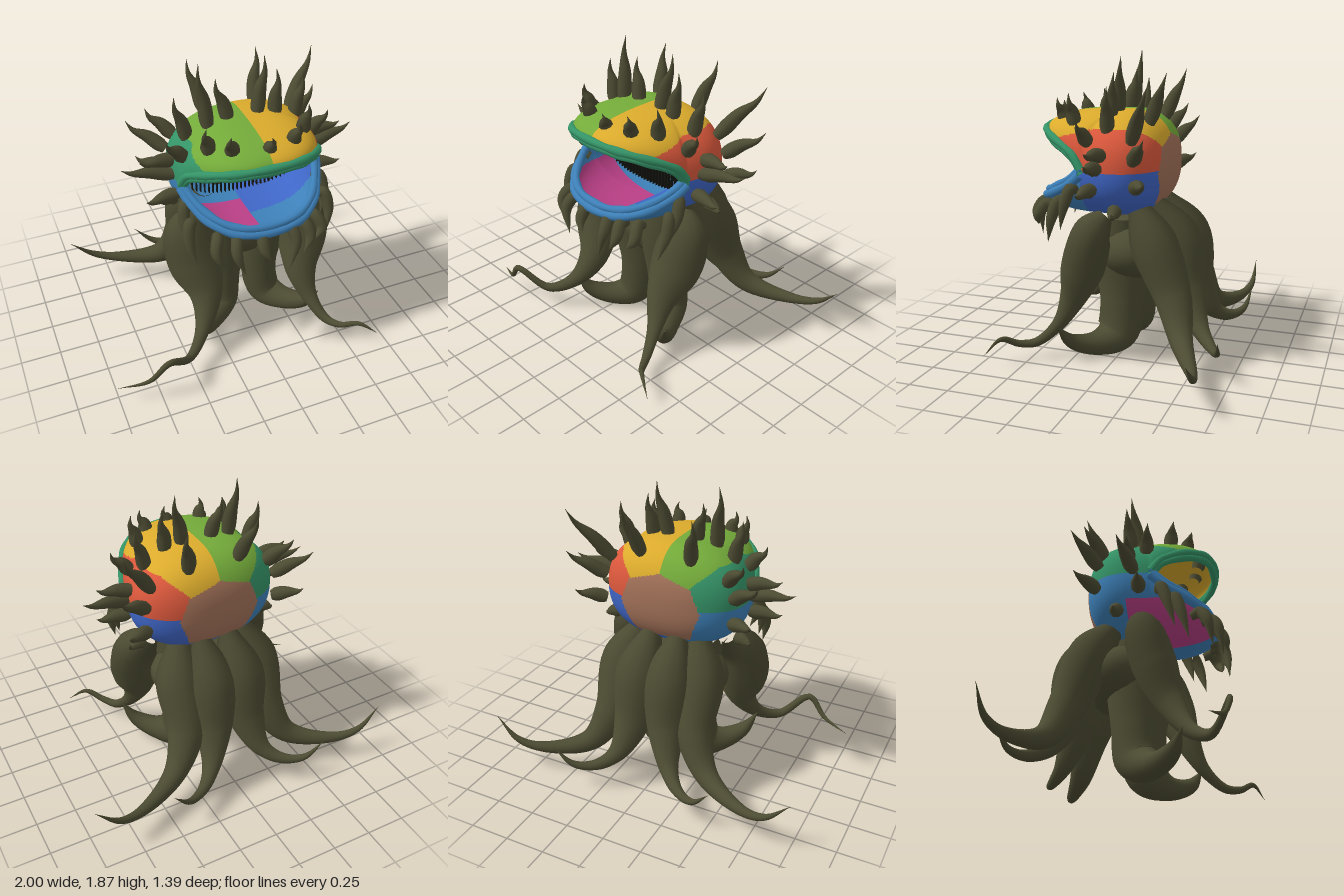
import * as THREE from 'three';

const mat = (name, color, side = THREE.FrontSide) => {
  const m = new THREE.MeshStandardMaterial({ color, side });
  m.name = name;
  return m;
};
const V = (p) => new THREE.Vector3(...p);

// Tapered tube: path points with one radius for each; depth widens or flattens it along z
function taper(points, radii, seg = 32, sides = 14, depth = 1) {
  const curve = new THREE.CatmullRomCurve3(points.map(V), false, 'centripetal');
  curve.getPointAt = curve.getPoint;
  curve.getTangentAt = curve.getTangent;
  const size = new THREE.CatmullRomCurve3(radii.map((r, i) => new THREE.Vector3(i, r, 0)));
  const g = new THREE.TubeGeometry(curve, seg, 1, sides);
  const pos = g.attributes.position, v = new THREE.Vector3();
  for (let i = 0; i <= seg; i++) {
    const c = curve.getPoint(i / seg), r = Math.max(0.001, size.getPoint(i / seg).y);
    for (let j = 0; j <= sides; j++) {
      const k = i * (sides + 1) + j;
      v.fromBufferAttribute(pos, k).sub(c).multiplyScalar(r);
      pos.setXYZ(k, c.x + v.x, c.y + v.y, c.z + v.z * depth);
    }
  }
  return g;
}

// Head outline seen from above; angle 0 is the front
const spow = (v, p) => Math.sign(v) * Math.abs(v) ** p;
function plan(a) {
  const c = Math.cos(a), s = Math.sin(a);
  return c > 0 ? [(0.455 - 0.04 * c * (2 - c)) * spow(s, 0.82), 0.49 * c ** 0.82]
    : [0.455 * spow(s, 0.84), 0.3 * spow(c, 0.84)];
}
// Edge height of a jaw: level at the back, opening toward the front
function lipY(z, rise) {
  return 1.2 + rise * Math.max(0, (z - 0.15) / 0.34) ** (rise > 0 ? 0.52 : 0.75);
}

// One half of the head shell, from the jaw edge to its pole, split by colour
function jawShell(rise, poleY, pick, materials) {
  const cols = 240, rows = 60, pos = [], buckets = materials.map(() => []);
  for (let j = 0; j <= rows; j++) {
    const t = (j / rows) * Math.PI / 2;
    const c = Math.max(0, Math.cos(t)) ** 0.8, s = Math.sin(t) ** 0.85;
    for (let i = 0; i < cols; i++) {
      const [x, z] = plan((i / cols) * Math.PI * 2), y = lipY(z, rise);
      pos.push(x * c, y + (poleY - y) * s, z * c);
    }
  }
  for (let j = 0; j < rows; j++) for (let i = 0; i < cols; i++) {
    const n = (i + 1) % cols;
    const a = j * cols + i, b = j * cols + n, c = b + cols, d = a + cols;
    const mid = [0, 1, 2].map((k) => (pos[a * 3 + k] + pos[b * 3 + k] + pos[c * 3 + k] + pos[d * 3 + k]) / 4);
    buckets[pick(...mid)].push(...(rise > 0 ? [a, b, c, a, c, d] : [a, c, b, a, d, c]));
  }
  const g = new THREE.BufferGeometry();
  g.setAttribute('position', new THREE.Float32BufferAttribute(pos, 3));
  g.setIndex(buckets.flat());
  let start = 0;
  buckets.forEach((b, i) => { g.addGroup(start, b.length, i); start += b.length; });
  g.computeVertexNormals();
  return new THREE.Mesh(g, materials);
}

export function createModel() {
  const root = new THREE.Group();
  root.name = 'tentacledCreature';
  const D = THREE.DoubleSide;
  const olive = mat('olive skin', 0x4c4b32);
  const green = mat('leaf green', 0x74ab3a, D), yellow = mat('yellow', 0xdbab2c, D);
  const red = mat('red', 0xdb583c, D), blue = mat('royal blue', 0x3f66c6, D);
  const teal = mat('teal green', 0x359468, D), steel = mat('steel blue', 0x3d80b8, D);
  const brown = mat('brown', 0xa37259, D), magenta = mat('magenta', 0xbb4087, D);
  const black = mat('black', 0x14140f);
  const add = (name, g, m = olive) => {
    const mesh = new THREE.Mesh(g, m);
    mesh.name = name;
    root.add(mesh);
    return mesh;
  };

  // Patchwork head
  const isBack = (x, y, z) => z < -0.1 && Math.abs(x) < 0.26 - Math.abs(y - 1.18) * 0.4 && y < 1.39 - Math.abs(x) * 0.3;
  const upper = jawShell(0.21, 1.53, (x, y, z) => {
    if (isBack(x, y, z)) return 4;
    const crown = y > 1.44 - Math.max(0, z - 0.1) * 0.25 || (z < 0 && Math.abs(x) < 0.22 + (y - 1.36) * 1.2);
    return crown ? (x < 0 ? 0 : 1) : (x < 0 ? 2 : 3);
  }, [green, yellow, teal, red, brown]);
  upper.name = 'upperHead';
  const lower = jawShell(-0.2, 0.89, (x, y, z) => {
    if (isBack(x, y, z) && y > 0.98) return 3;
    if (x > 0) return z > 0.16 ? 0 : 1;
    return z > 0 && y < 1.05 ? 2 : 0;
  }, [steel, blue, magenta, brown]);
  lower.name = 'lowerHead';
  root.add(upper, lower);

  // Lips, each a pair of rolled strands
  const lip = (rise, dy, out, r) => {
    const pts = [];
    for (let i = 0; i <= 24; i++) {
      const a = -1.34 + (i / 24) * 2.68, [x, z] = plan(a);
      pts.push([x * out, lipY(z, rise) + dy, z * out + 0.005]);
    }
    return taper(pts, pts.map((_, i) => r * (0.9 + 0.1 * Math.cos(i * 1.6))), 96, 10);
  };
  add('upperLipOuter', lip(0.21, 0.012, 1.0, 0.026), teal);
  add('upperLipInner', lip(0.21, -0.018, 0.98, 0.024), teal);
  add('lowerLipOuter', lip(-0.2, -0.015, 1.01, 0.03), steel);
  add('lowerLipInner', lip(-0.2, 0.02, 0.98, 0.026), steel);

  // Row of fine bristles across the throat
  for (let i = -13; i <= 13; i++) {
    const x = i * 0.026, h = 0.36 - 0.14 * Math.abs(i / 13) ** 3;
    add('bristle', new THREE.BoxGeometry(0.005, h, 0.02), black).position.set(x, 1.21, 0.08);
  }

  // Fleshy base joining the tentacles under the head
  const base = add('base', new THREE.SphereGeometry(1, 40, 24));
  base.scale.set(0.36, 0.2, 0.26);
  base.position.set(0, 0.68, -0.08);

  // Mirrored tentacles
  for (const s of [1, -1]) {
    const flip = (pts) => pts.map(([x, y, z]) => [x * s, y, z]);
    add('middleTentacle', taper(flip([[0.14, 0.88, 0.01], [0.14, 0.7, 0.01], [0.13, 0.36, 0], [0.16, 0.13, 0.03],
      [0.25, 0.08, 0.13], [0.36, 0.12, 0.25], [0.43, 0.23, 0.32]]), [0.1, 0.15, 0.115, 0.11, 0.075, 0.045, 0], 48, 20, 1.25));
    add('outerBackTentacle', taper(flip([[0.2, 0.95, -0.13], [0.26, 0.76, -0.24], [0.285, 0.45, -0.37], [0.41, 0.23, -0.46],
      [0.68, 0.17, -0.59], [0.85, 0.21, -0.64], [1, 0.34, -0.64]]), [0.07, 0.145, 0.115, 0.07, 0.035, 0.02, 0], 48));
    add('innerBackTentacle', taper(flip([[0.09, 0.97, -0.2], [0.1, 0.76, -0.34], [0.115, 0.46, -0.41], [0.18, 0.24, -0.51],
      [0.28, 0.17, -0.6], [0.41, 0.18, -0.67], [0.53, 0.29, -0.7]]), [0.06, 0.15, 0.12, 0.06, 0.035, 0.02, 0], 48));
  }
  // Front tentacles share a thick, flattened root and end differently
  const front = (s, end) => add('frontTentacle', taper([[0.32 * s, 0.92, 0.04], [0.38 * s, 0.82, 0.1],
    [0.365 * s, 0.62, 0.165], [0.33 * s, 0.4, 0.25], ...end], [0.06, 0.15, 0.17, 0.105, 0.05, 0.03, 0.022, 0.015, 0], 56, 16, 0.75));
  front(1, [[0.36, 0.22, 0.34], [0.42, 0.11, 0.46], [0.48, 0.11, 0.55], [0.57, 0.16, 0.63], [0.68, 0.09, 0.69]]);
  front(-1, [[-0.4, 0.22, 0.36], [-0.53, 0.15, 0.49], [-0.7, 0.27, 0.6], [-0.82, 0.15, 0.58], [-1, 0.1, 0.52]]);

  // Thorns: swollen near the root with a thin hooked point
  const thorn = (a, b, r = 0.044) => {
    const p = V(a), q = V(b), at = (t) => p.clone().lerp(q, t).toArray();
    const hook = at(0.76);
    hook[1] -= 0.012;
    hook[0] += Math.sign(b[0]) * 0.014;
    add('thorn', taper([at(0), at(0.17), at(0.45), hook, b], [r * 0.75, r, r * 0.85, r * 0.36, 0], 14, 9));
  };
  const pairs = [
    [[0.16, 1.46, -0.18], [0.22, 1.76, -0.3]], [[0.42, 1.27, -0.16], [0.62, 1.43, -0.29]],
    [[0.42, 1.12, -0.17], [0.58, 1.18, -0.28]], [[0.39, 1.36, 0.12], [0.5, 1.5, 0.15]],
    [[0.44, 1.22, 0.05], [0.74, 1.29, 0.01]], [[0.43, 1.1, 0.08], [0.63, 1.1, 0.11]],
    [[0.34, 1.42, 0.02], [0.4, 1.69, 0]], [[0.43, 1.3, 0.02], [0.64, 1.34, 0.05]],
    [[0.4, 0.98, -0.05], [0.5, 0.96, -0.06]],
  ];
  for (const s of [1, -1]) for (const [a, b] of pairs) thorn([a[0] * s, a[1], a[2]], [b[0] * s, b[1], b[2]]);
  const crown = [
    [[0.38, 1.38, -0.14], [0.6, 1.7, -0.3]], [[-0.37, 1.36, -0.14], [-0.51, 1.52, -0.24]],
    [[-0.22, 1.48, 0.05], [-0.25, 1.87, 0]], [[-0.09, 1.5, 0.04], [-0.15, 1.76, 0]],
    [[0.09, 1.5, 0.04], [0.15, 1.85, 0]], [[0.2, 1.48, 0.05], [0.22, 1.76, 0.02]],
    [[-0.29, 1.45, 0.25], [-0.31, 1.62, 0.28]], [[-0.18, 1.46, 0.33], [-0.2, 1.6, 0.38]],
    [[0.02, 1.45, 0.38], [0.02, 1.57, 0.42]], [[0.18, 1.46, 0.34], [0.2, 1.6, 0.39]],
    [[0.29, 1.45, 0.24], [0.31, 1.64, 0.27]],
  ];
  for (const [a, b] of crown) thorn(a, b);

  // Drooping claws under the lower jaw, hooked at the tips
  for (const [x, z, drop] of [[-0.31, 0.37, 0.77], [-0.21, 0.42, 0.75], [-0.06, 0.44, 0.83], [0.13, 0.43, 0.72],
    [0.22, 0.42, 0.8], [0.31, 0.37, 0.83]]) {
    const tip = x - Math.sign(x) * 0.03;
    add('jawClaw', taper([[x * 0.97, 0.95, z], [x, 0.97, z + 0.05], [x * 1.08, 0.9, z + 0.1], [tip, drop, z + 0.12]],
      [0.025, 0.036, 0.033, 0], 16, 9));
  }
  for (const s of [1, -1]) for (const [y, z] of [[1.1, 0.19], [1.02, 0.27]]) {
    add('sideClaw', taper([[0.4 * s, y - 0.02, z], [0.43 * s, y, z + 0.02], [0.45 * s, y - 0.1, z + 0.06], [0.42 * s, y - 0.26, z + 0.1]],
      [0.025, 0.036, 0.033, 0], 16, 9));
  }
  return root;
}
